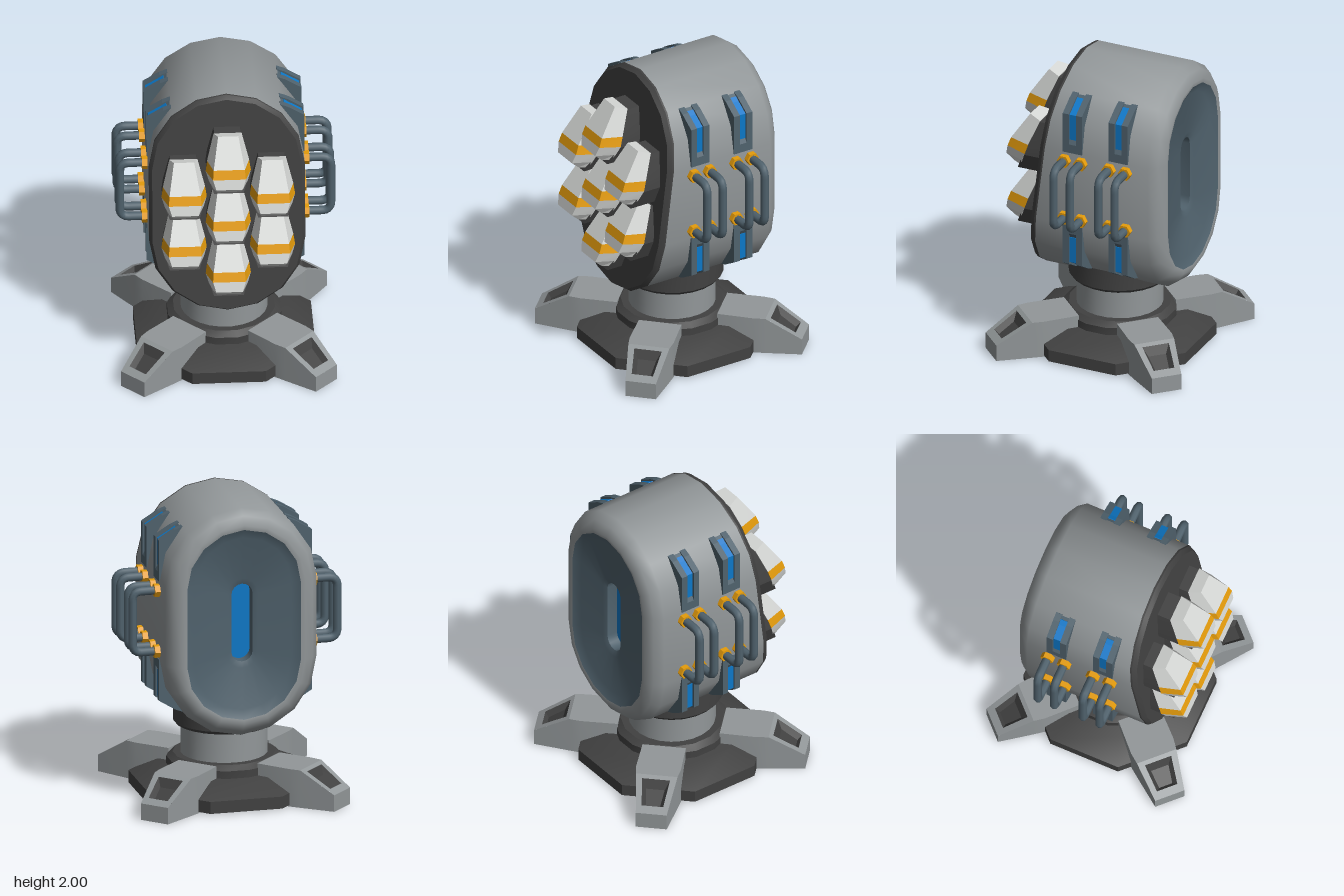
import * as THREE from 'three';
import { toCreasedNormals } from 'three/addons/utils/BufferGeometryUtils.js';

const mat = (name, color) => {
  const m = new THREE.MeshStandardMaterial({ color });
  m.name = name;
  return m;
};

// Skin a list of point rings; "skip" leaves out one face as [ring, side].
function loft(rings, { start = false, end = false, crease = 0.2, skip = null } = {}) {
  const pos = [];
  const tri = (a, b, c) => pos.push(...a, ...b, ...c);
  const n = rings[0].length;
  for (let k = 0; k < rings.length - 1; k++) {
    for (let i = 0; i < n; i++) {
      if (skip && skip[0] === k && skip[1] === i) continue;
      const j = (i + 1) % n, a = rings[k], b = rings[k + 1];
      tri(a[i], a[j], b[j]);
      tri(a[i], b[j], b[i]);
    }
  }
  const cap = (r, flip) => {
    const c = [0, 1, 2].map(d => r.reduce((s, p) => s + p[d], 0) / n);
    for (let i = 0; i < n; i++) {
      const p = r[i], q = r[(i + 1) % n];
      flip ? tri(c, q, p) : tri(c, p, q);
    }
  };
  if (start) cap(rings[0], true);
  if (end) cap(rings[rings.length - 1], false);
  const g = new THREE.BufferGeometry();
  g.setAttribute('position', new THREE.Float32BufferAttribute(pos, 3));
  return toCreasedNormals(g, crease);
}

// Upright capsule outline; z may depend on height.
const MID = 1.24;
function capsule(r, half, z) {
  const pts = [];
  for (let i = 0; i < 18; i++) {
    const top = i < 9;
    const a = ((top ? i : i - 1) / 8) * Math.PI;
    const y = MID + (top ? half : -half) + r * Math.sin(a);
    pts.push([r * Math.cos(a), y, typeof z === 'function' ? z(y) : z]);
  }
  return pts;
}

export function createModel() {
  const grey = mat('armour grey', 0x929799);
  const dark = mat('dark metal', 0x414141);
  const white = mat('pod white', 0xd6d8d6);
  const orange = mat('orange trim', 0xe59c0c);
  const steel = mat('blue steel', 0x50626d);
  const blue = mat('glow blue', 0x0c78c8);

  const model = new THREE.Group();
  const add = (name, geo, material, parent = model) => {
    const m = new THREE.Mesh(geo, material);
    m.name = name;
    parent.add(m);
    return m;
  };

  // Octagonal base and round neck: bottom radius, top radius, y0, y1, sides
  const stack = [
    ['basePlate', 0.617, 0.617, 0.01, 0.09, 8, dark],
    ['baseBevel', 0.617, 0.44, 0.09, 0.17, 8, dark],
    ['baseRing', 0.37, 0.37, 0.16, 0.22, 16, dark],
    ['baseRingBevel', 0.37, 0.33, 0.22, 0.25, 16, dark],
    ['neck', 0.28, 0.28, 0.2, 0.47, 24, grey],
    ['collarBevel', 0.315, 0.33, 0.45, 0.47, 24, dark],
    ['collar', 0.33, 0.33, 0.47, 0.66, 24, dark],
  ];
  for (const [name, r0, r1, y0, y1, sides, m] of stack) {
    const g = new THREE.CylinderGeometry(r1, r0, y1 - y0, sides);
    g.rotateY(Math.PI / sides);
    g.translate(0, (y0 + y1) / 2, 0);
    add(name, toCreasedNormals(g, 0.5), m);
  }

  // Four diagonal feet with a sunken dark pocket on the sloping toe
  const legRing = (x, w, h) => [[x, 0, -w], [x, h, -w], [x, h, w], [x, 0, w]];
  const slope = (x0, w0, x1, w1, depth = 0) => [[x0, -w0], [x0, w0], [x1, w1], [x1, -w1]]
    .map(([x, z]) => [x, 0.25 - (x - 0.645) * 0.603 - depth, z]);
  const legGeo = loft([legRing(0.33, 0.14, 0.25), legRing(0.57, 0.145, 0.25),
    legRing(0.645, 0.135, 0.25), legRing(0.877, 0.1, 0.11)], { start: true, end: true, skip: [2, 1] });
  const mouth = slope(0.67, 0.09, 0.83, 0.07);
  const rimGeo = loft([slope(0.645, 0.135, 0.877, 0.1), mouth]);
  const pocketGeo = loft([mouth, slope(0.7, 0.06, 0.805, 0.045, 0.04)], { end: true });
  for (let k = 0; k < 4; k++) {
    const leg = new THREE.Group();
    leg.name = 'foot';
    leg.rotation.y = Math.PI / 4 + k * Math.PI / 2;
    add('footBody', legGeo, grey, leg);
    add('footToe', rimGeo, grey, leg);
    add('footPocket', pocketGeo, dark, leg);
    model.add(leg);
  }

  // Capsule housing with rounded back rim and slanted front
  const front = off => y => 0.235 + (2 - y) * 0.122 + off;
  add('housing', loft([
    capsule(0.375, 0.26, -0.515), capsule(0.405, 0.26, -0.52), capsule(0.46, 0.26, -0.485),
    capsule(0.5, 0.26, -0.43), capsule(0.5, 0.26, front(0)),
  ], { crease: 0.9 }), grey);
  add('frontPlate', loft([
    capsule(0.5, 0.26, front(0)), capsule(0.5, 0.26, front(0.012)), capsule(0.48, 0.26, front(0.04)),
  ], { end: true, crease: 0.45 }), dark);

  // Dished back panel with a glowing slot
  add('backPanel', loft([
    capsule(0.07, 0.19, -0.38), capsule(0.07, 0.19, -0.46), capsule(0.1, 0.2, -0.475),
    capsule(0.32, 0.255, -0.485), capsule(0.375, 0.26, -0.515),
  ], { crease: 0.8 }), steel);
  add('backGlow', loft([capsule(0.07, 0.19, -0.385), capsule(0.07, 0.19, -0.38)], { start: true }), blue);

  // Seven launcher pods; section: back z, back y, front z, front y, back half-width, front half-width
  const sections = [
    [0.39, 1.80, 0.47, 1.825, 0.09, 0.065],
    [0.455, 1.635, 0.59, 1.645, 0.135, 0.1],
    [0.475, 1.57, 0.612, 1.585, 0.145, 0.105],
    [0.5, 1.51, 0.63, 1.52, 0.125, 0.085],
    [0.52, 1.465, 0.575, 1.47, 0.1, 0.075],
  ].map(([zb, yb, zf, yf, wb, wf]) => [[wb, yb, zb], [wf, yf, zf], [-wf, yf, zf], [-wb, yb, zb]]);
  const capTop = loft(sections.slice(0, 2), { start: true });
  const band = loft(sections.slice(1, 3));
  const capLow = loft(sections.slice(2), { end: true });
  const tube = loft([
    [0.4, 1.79, 0.085], [0.46, 1.63, 0.128], [0.49, 1.56, 0.138], [0.545, 1.44, 0.095],
  ].map(([z, y, w]) => [[w, y, 0.25], [w, y, z], [-w, y, z], [-w, y, 0.25]]), { start: true, end: true });
  const spots = [[0, 0], [0, -0.39], [0, -0.78],
    [0.283, -0.19], [0.283, -0.575], [-0.283, -0.19], [-0.283, -0.575]];
  for (const [x, y] of spots) {
    const pod = new THREE.Group();
    pod.name = 'pod';
    pod.position.set(x, y, 0);
    add('podCapTop', capTop, white, pod);
    add('podBand', band, orange, pod);
    add('podCapBottom', capLow, white, pod);
    add('podTube', tube, dark, pod);
    model.add(pod);
  }

  // Corner vents: two rails around a sunken glowing strip, mirrored to each side and end
  const slab = (pts, sx, sy, z0, z1) => {
    const shape = new THREE.Shape(pts.map(([x, y]) => new THREE.Vector2(sx * x, MID + sy * (y - MID))));
    const g = new THREE.ExtrudeGeometry(shape, { depth: z1 - z0, bevelEnabled: false });
    return g.translate(0, 0, z0);
  };
  const railPts = [[0.35, 1.86], [0.4, 1.84], [0.505, 1.775], [0.505, 1.5], [0.4, 1.5], [0.3, 1.75]];
  const floorPts = [[0.35, 1.855], [0.405, 1.815], [0.488, 1.765], [0.488, 1.59], [0.505, 1.56],
    [0.505, 1.5], [0.4, 1.5], [0.3, 1.75]];
  const glowPts = [[0.378, 1.84], [0.408, 1.819], [0.493, 1.768], [0.493, 1.59], [0.485, 1.59],
    [0.485, 1.763], [0.402, 1.812], [0.372, 1.834]];
  for (const sx of [1, -1]) {
    for (const sy of [1, -1]) {
      for (const z of [0.1, -0.223]) {
        add('ventRail', slab(railPts, sx, sy, z - 0.068, z - 0.025), steel);
        add('ventRail', slab(railPts, sx, sy, z + 0.025, z + 0.068), steel);
        add('ventFloor', slab(floorPts, sx, sy, z - 0.025, z + 0.025), steel);
        add('ventGlow', slab(glowPts, sx, sy, z - 0.025, z + 0.025), blue);
      }
    }
  }

  // Side handles with collars
  const v = (x, y) => new THREE.Vector3(x, y, 0);
  const path = new THREE.CurvePath();
  const yT = 1.442, yB = 1.035, xo = 0.676, c = 0.06;
  path.add(new THREE.LineCurve3(v(0.47, yT), v(xo - c, yT)));
  path.add(new THREE.QuadraticBezierCurve3(v(xo - c, yT), v(xo, yT), v(xo, yT - c)));
  path.add(new THREE.LineCurve3(v(xo, yT - c), v(xo, yB + c)));
  path.add(new THREE.QuadraticBezierCurve3(v(xo, yB + c), v(xo, yB), v(xo - c, yB)));
  path.add(new THREE.LineCurve3(v(xo - c, yB), v(0.47, yB)));
  const handleGeo = new THREE.TubeGeometry(path, 40, 0.028, 8);
  const ringGeo = toCreasedNormals(
    new THREE.CylinderGeometry(0.044, 0.044, 0.04, 6).rotateZ(Math.PI / 2), 0.2);
  for (const turn of [0, Math.PI]) {
    for (const z of [0.153, 0.037, -0.163, -0.278]) {
      const handle = new THREE.Group();
      handle.name = 'handle';
      handle.rotation.y = turn;
      handle.position.z = z;
      add('handleBar', handleGeo, steel, handle);
      for (const y of [yT, yB]) add('handleCollar', ringGeo, orange, handle).position.set(0.516, y, 0);
      model.add(handle);
    }
  }
  return model;
}
